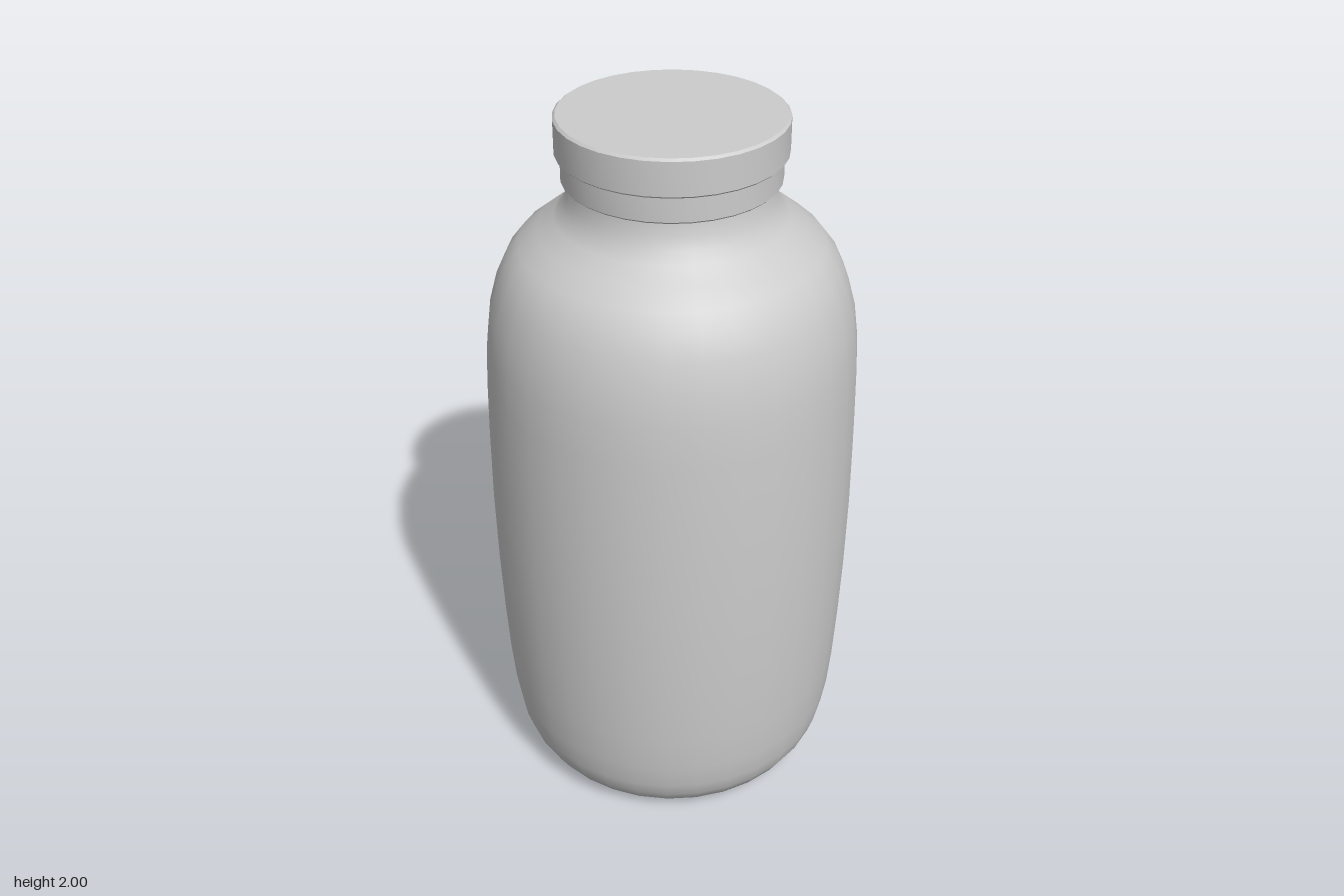
import * as THREE from 'three';
import { toCreasedNormals } from 'three/addons/utils/BufferGeometryUtils.js';

const SIDES = 32;
const material = new THREE.MeshStandardMaterial({ color: 0xcccccc, side: THREE.DoubleSide });

// Turned part from [radius, height] points, listed bottom to top.
function turned(name, points, crease) {
  const profile = points.map(([r, y]) => new THREE.Vector2(r, y));
  let geometry = new THREE.LatheGeometry(profile, SIDES);
  if (crease) geometry = toCreasedNormals(geometry, crease);
  const mesh = new THREE.Mesh(geometry, material);
  mesh.name = name;
  return mesh;
}

export function createModel() {
  const model = new THREE.Group();
  model.name = 'bottle';

  // Body: softly rounded base, slightly bulging wall, shoulder and neck
  model.add(turned('body', [
    [0, 0], [0.2, 0.003], [0.33, 0.013], [0.39, 0.025], [0.425, 0.045], [0.452, 0.09],
    [0.468, 0.14], [0.481, 0.22], [0.491, 0.34], [0.499, 0.5], [0.505, 0.68], [0.508, 0.9],
    [0.506, 1.1], [0.502, 1.27], [0.496, 1.38], [0.484, 1.47], [0.462, 1.55], [0.435, 1.61],
    [0.4, 1.655], [0.35, 1.695], [0.305, 1.73], [0.283, 1.757], [0.27, 1.79], [0.262, 1.83],
    [0.26, 1.88],
  ]));

  // Collar: narrow tamper ring under the cap
  model.add(turned('collar', [
    [0.255, 1.828], [0.278, 1.828], [0.283, 1.833], [0.283, 1.9],
  ], 0.6));

  // Cap: straight wall with a fine bevel at the flat top
  model.add(turned('cap', [
    [0.26, 1.9], [0.292, 1.9], [0.297, 1.905], [0.297, 1.994], [0.29, 2], [0, 2],
  ], 0.6));

  return model;
}
